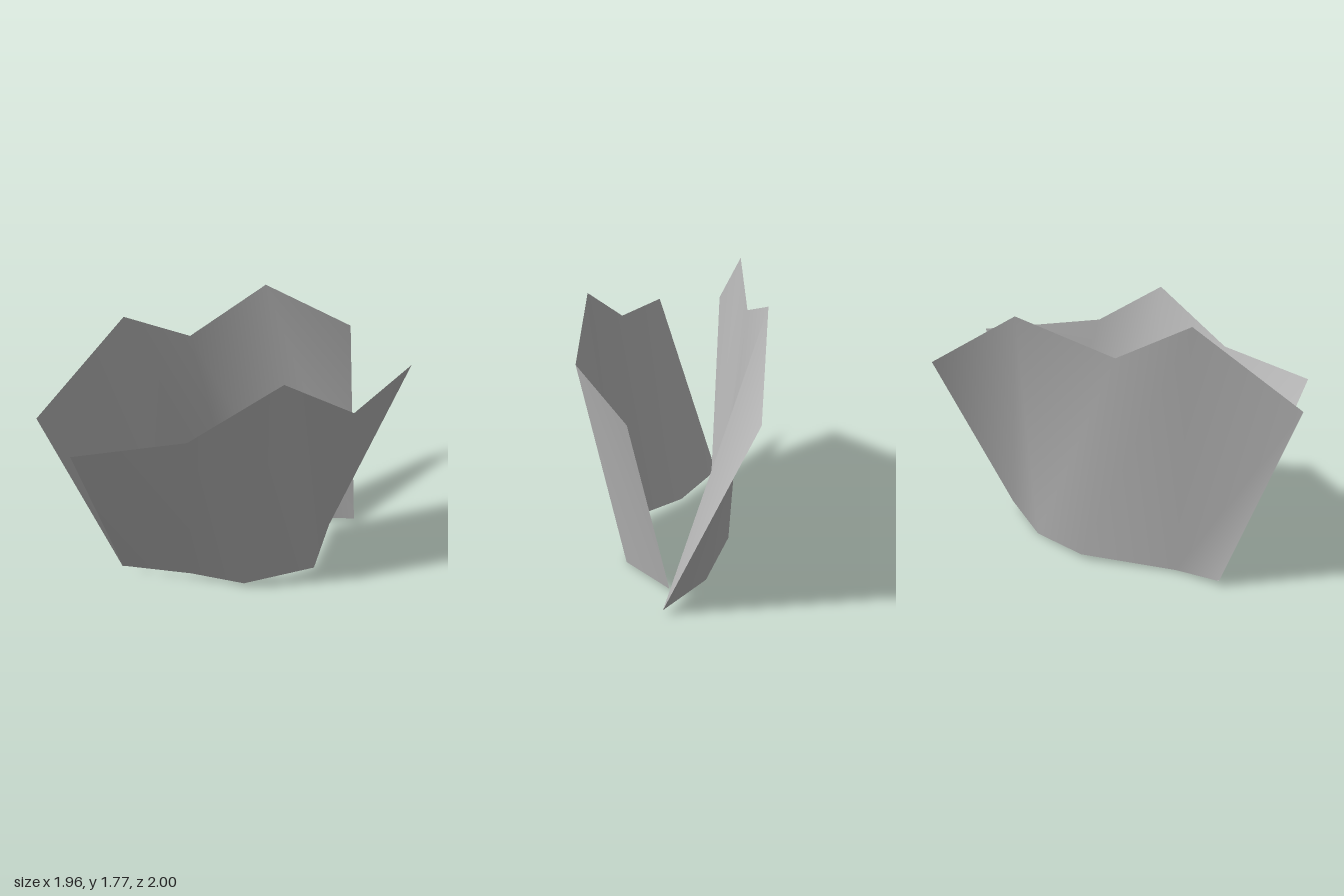
import * as THREE from 'three';

// Open curved sheet joining a bottom edge to a zigzag top edge, smooth normals
function sheet(name, bottom, top, outward, material) {
  const n = bottom.length;
  const index = [];
  for (let i = 0; i < n - 1; i++) {
    const b = i, b1 = i + 1, t = n + i, t1 = n + i + 1;
    if (outward) index.push(b, b1, t, t, b1, t1);
    else index.push(b, t, b1, t, t1, b1);
  }
  const geometry = new THREE.BufferGeometry();
  geometry.setAttribute('position', new THREE.Float32BufferAttribute([...bottom, ...top].flat(), 3));
  geometry.setIndex(index);
  geometry.computeVertexNormals();
  const mesh = new THREE.Mesh(geometry, material);
  mesh.name = name;
  return mesh;
}

export function createModel() {
  const group = new THREE.Group();
  group.name = 'splitShell';
  const grey = new THREE.MeshStandardMaterial({ color: 0xbcbcbc, side: THREE.DoubleSide });
  grey.name = 'plain grey';

  // Front half, wrapping round to the left side
  group.add(sheet('frontShell',
    [[-0.69, 0.05, 0.45], [-0.235, 0.02, 0.36], [0.14, 0.047, 0.375], [0.545, 0.005, 0.055], [0.565, 0.04, -0.375]],
    [[-0.625, 1.335, 0.995], [-0.065, 1.375, 0.755], [0.39, 1.667, 0.515], [0.727, 1.373, 0.21], [0.975, 1.327, -0.54]],
    true, grey));

  // Back half, wrapping round to the right side
  group.add(sheet('backShell',
    [[-0.69, 0.05, 0.455], [-0.45, 0.02, 0.27], [-0.085, 0.045, -0.255], [0.31, 0.005, -0.435], [0.727, 0.04, -0.495]],
    [[-0.98, 1.335, 0.71], [-0.635, 1.772, 0.195], [-0.355, 1.54, -0.125], [0, 1.732, -0.587], [0.51, 1.327, -1]],
    false, grey));

  return group;
}
